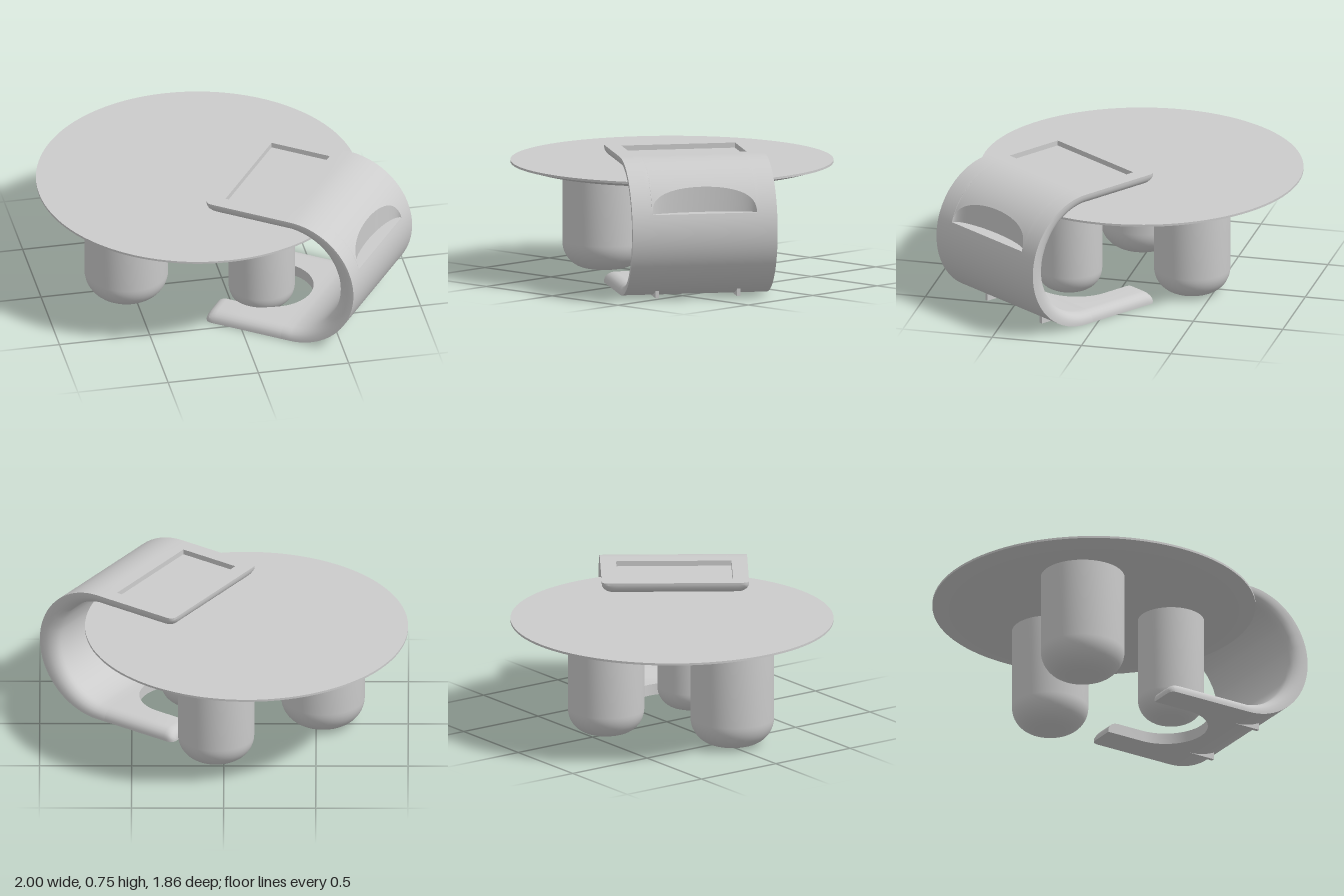
import * as THREE from 'three';
import { toCreasedNormals } from 'three/addons/utils/BufferGeometryUtils.js';

const material = new THREE.MeshStandardMaterial({ color: 0xcccccc, side: THREE.DoubleSide });

function addMesh(parent, name, geometry, crease = 0.5) {
  const mesh = new THREE.Mesh(toCreasedNormals(geometry, crease), material);
  mesh.name = name;
  parent.add(mesh);
  return mesh;
}

const steps = (n, f) => Array.from({ length: n + 1 }, (_, i) => f(i / n));
const lathe = (pts, n) => new THREE.LatheGeometry(pts.map(p => new THREE.Vector2(...p)), n);

// C-shaped band: path length s runs from the upper free end, round the bend, to the lower free end
const R = 0.3775, L = 0.5025, BEND = 0.0625, HALF = 0.4;
const S = 2 * L + Math.PI * R;
const RIM = 0.012, FILLET = 0.06;
const NOTCH_R = 0.23, NOTCH_S = S - 0.45;
const edge = [0, 0.003, 0.01, 0.022, 0.04, FILLET];

// Point on the band, sunk by off below its outer face
function at(s, off) {
  if (s < L) return [s + BEND - L, 2 * R - off];
  if (s > S - L) return [BEND - (s - S + L), off];
  const a = (s - L) / R;
  return [BEND + (R - off) * Math.sin(a), R + (R - off) * Math.cos(a)];
}

const quarterRound = d => Math.sqrt(Math.max(0, 1 - (1 - Math.min(1, d / FILLET)) ** 2));

// Thickness: rounded off on the inner side towards the rim, heavier in the bend
function thickness(s, sideGap) {
  const a = THREE.MathUtils.clamp((s - L) / R, 0, Math.PI);
  const full = 0.062 + 0.035 * Math.sin(a);
  return RIM + (full - RIM) * quarterRound(Math.min(s, S - s)) * quarterRound(sideGap);
}

// Half width, with rounded corners at the free ends
function halfWidth(s) {
  const c = 0.035, d = Math.min(c, s, S - s);
  return HALF - c + Math.sqrt(Math.max(0, c * c - (c - d) ** 2));
}

// Hand pocket: flat floor and an upright elliptical wall cut into the bend
const FLOOR_Y = 0.485, POCKET_W = 0.29, POCKET_D = 0.075;
const floorS = L + R * Math.acos((FLOOR_Y - R) / R);
const lipU = at(floorS, 0)[0];
const wallU = v => lipU - POCKET_D * Math.sqrt(Math.max(0, 1 - (v / POCKET_W) ** 2));
const openingS = v => L + R * Math.asin((wallU(v) - BEND) / R);
const topS = openingS(0);

const inRecess = (s, v) => s > 0.086 && s < 0.429 && Math.abs(v) < 0.313;

function outerPoint({ s, pocket }, v) {
  if (pocket === 'floor') return [wallU(v), FLOOR_Y];
  if (s >= L && s <= topS + 1e-6) return at(L + (s - L) * (openingS(v) - L) / (topS - L), 0);
  return at(s, inRecess(s, v) ? 0.028 : 0);
}

// Skin closed cross-sections; columns(s) gives the v positions across one row
function loft(rows, columns) {
  const pos = [], index = [];
  let n = 0;
  for (const row of rows) {
    const vs = columns(row.s), hw = halfWidth(row.s);
    n = vs.length;
    for (const v of vs) pos.push(...outerPoint(row, v), v);
    for (const v of [...vs].reverse()) pos.push(...at(row.s, thickness(row.s, hw - Math.abs(v))), v);
  }
  const m = 2 * n, last = (rows.length - 1) * m;
  const quad = (a, b, c, d) => index.push(a, b, c, a, c, d);
  for (let i = 0; i < rows.length - 1; i++)
    for (let j = 0; j < m; j++) {
      const k = (j + 1) % m;
      quad(i * m + j, i * m + k, (i + 1) * m + k, (i + 1) * m + j);
    }
  for (let j = 0; j < n - 1; j++) {
    const a = j, b = m - 1 - j;
    quad(a, b, b - 1, a + 1);
    quad(last + a, last + a + 1, last + b - 1, last + b);
  }
  const geometry = new THREE.BufferGeometry();
  geometry.setAttribute('position', new THREE.Float32BufferAttribute(pos, 3));
  geometry.setIndex(index);
  return geometry;
}

function createSeat() {
  const seat = new THREE.Group();
  seat.name = 'seat';

  // Main band with the sunken panel and the hand pocket
  const rows = [
    ...edge, 0.0855, 0.0865, 0.4285, 0.4295,
    ...steps(16, t => L + (topS - L) * t),
  ].map(s => ({ s }));
  rows.push({ s: (topS + floorS) / 2, pocket: 'floor' });
  rows.push(...steps(26, t => floorS + (S - L - floorS) * t).map(s => ({ s })), { s: NOTCH_S });
  const middle = steps(28, t => POCKET_W * Math.sin((t - 0.5) * Math.PI));
  const side = [...edge.map(d => HALF - d), 0.3135, 0.3125];
  const across = [...side.map(v => -v), ...middle, ...[...side].reverse()];
  addMesh(seat, 'seatBand', loft(rows, s => across.map(v => v * halfWidth(s) / HALF)));

  // Two prongs of the base either side of the round-ended notch
  const prongRows = [
    ...steps(16, t => NOTCH_S + NOTCH_R * (1 - Math.cos(t * Math.PI / 2))),
    ...[...edge].reverse().map(d => S - d),
  ].map(s => ({ s }));
  const notch = s => {
    const g = Math.min(NOTCH_R, Math.max(0, s - NOTCH_S));
    return Math.sqrt(Math.max(0, NOTCH_R ** 2 - (NOTCH_R - g) ** 2));
  };
  for (const sign of [-1, 1]) {
    const columns = s => {
      const hw = halfWidth(s);
      const vs = [notch(s), ...[...edge].reverse().map(d => hw - d)];
      return sign > 0 ? vs : vs.map(v => -v).reverse();
    };
    addMesh(seat, sign > 0 ? 'leftBaseProng' : 'rightBaseProng', loft(prongRows, columns));
  }

  // Small wedge feet under the bend
  const wedge = new THREE.Shape();
  wedge.moveTo(BEND, 0);
  wedge.lineTo(0.232, 0);
  wedge.lineTo(0.232, 0.045);
  wedge.lineTo(BEND, 0.02);
  for (const v of [-0.225, 0.225]) {
    const foot = new THREE.ExtrudeGeometry(wedge, { depth: 0.02, bevelEnabled: false });
    addMesh(seat, 'wedgeFoot', foot).position.z = v - 0.01;
  }

  seat.position.set(0.41, 0, 0.3475);
  seat.rotation.y = -THREE.MathUtils.degToRad(35);
  return seat;
}

export function createModel() {
  const model = new THREE.Group();
  model.name = 'tableWithSeat';

  // Round table top with a bevelled underside
  const table = new THREE.Group();
  table.name = 'table';
  model.add(table);
  const top = lathe([[0, 0.59], [0.79, 0.59], [0.877, 0.614], [0.877, 0.626], [0, 0.626]], 96);
  addMesh(table, 'tableTop', top, 0.2).position.set(-0.1225, 0, -0.055);

  // Three drum legs of differing girth with rounded feet
  for (const [x, z, r] of [[-0.537, 0.047, 0.2275], [0.042, -0.378, 0.2075], [0.165, 0.28, 0.18]]) {
    const f = r * 0.64;
    const profile = [[0, 0], ...steps(12, t => {
      const a = t * Math.PI / 2;
      return [r - f + f * Math.sin(a), f - f * Math.cos(a)];
    }), [r, 0.592]];
    addMesh(table, 'leg', lathe(profile, 48)).position.set(x, 0, z);
  }

  model.add(createSeat());
  return model;
}
